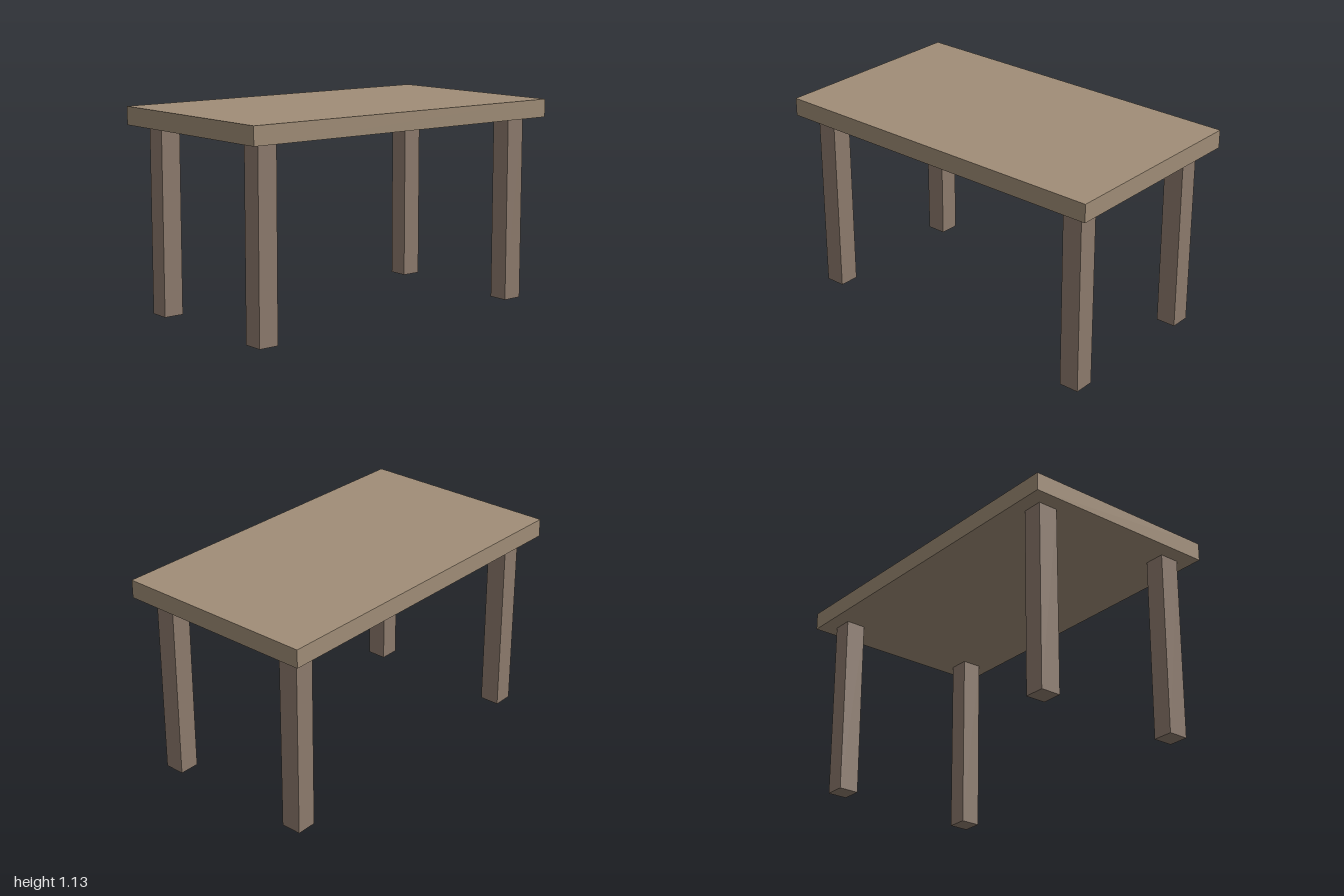
import * as THREE from 'three';

const LEG_HEIGHT = 1.03;
const LEG_WIDTH = 0.114;
const TOP_THICKNESS = 0.1;

export function createModel() {
  const model = new THREE.Group();
  model.name = 'table';

  const topMaterial = new THREE.MeshStandardMaterial({ color: 0xa08d77 });
  const legMaterial = new THREE.MeshStandardMaterial({ color: 0x8d7b6d });

  // Rectangular slab top
  const top = new THREE.Mesh(new THREE.BoxGeometry(2, TOP_THICKNESS, 1.143), topMaterial);
  top.name = 'tableTop';
  top.position.y = LEG_HEIGHT + TOP_THICKNESS / 2;
  model.add(top);

  // Four square legs, inset from the corners
  const legGeometry = new THREE.BoxGeometry(LEG_WIDTH, LEG_HEIGHT, LEG_WIDTH);
  for (const [sideName, x] of [['Left', 0.857], ['Right', -0.857]]) {
    for (const [endName, z] of [['front', 0.429], ['back', -0.429]]) {
      const leg = new THREE.Mesh(legGeometry, legMaterial);
      leg.name = `${endName}${sideName}Leg`;
      leg.position.set(x, LEG_HEIGHT / 2, z);
      model.add(leg);
    }
  }

  return model;
}
